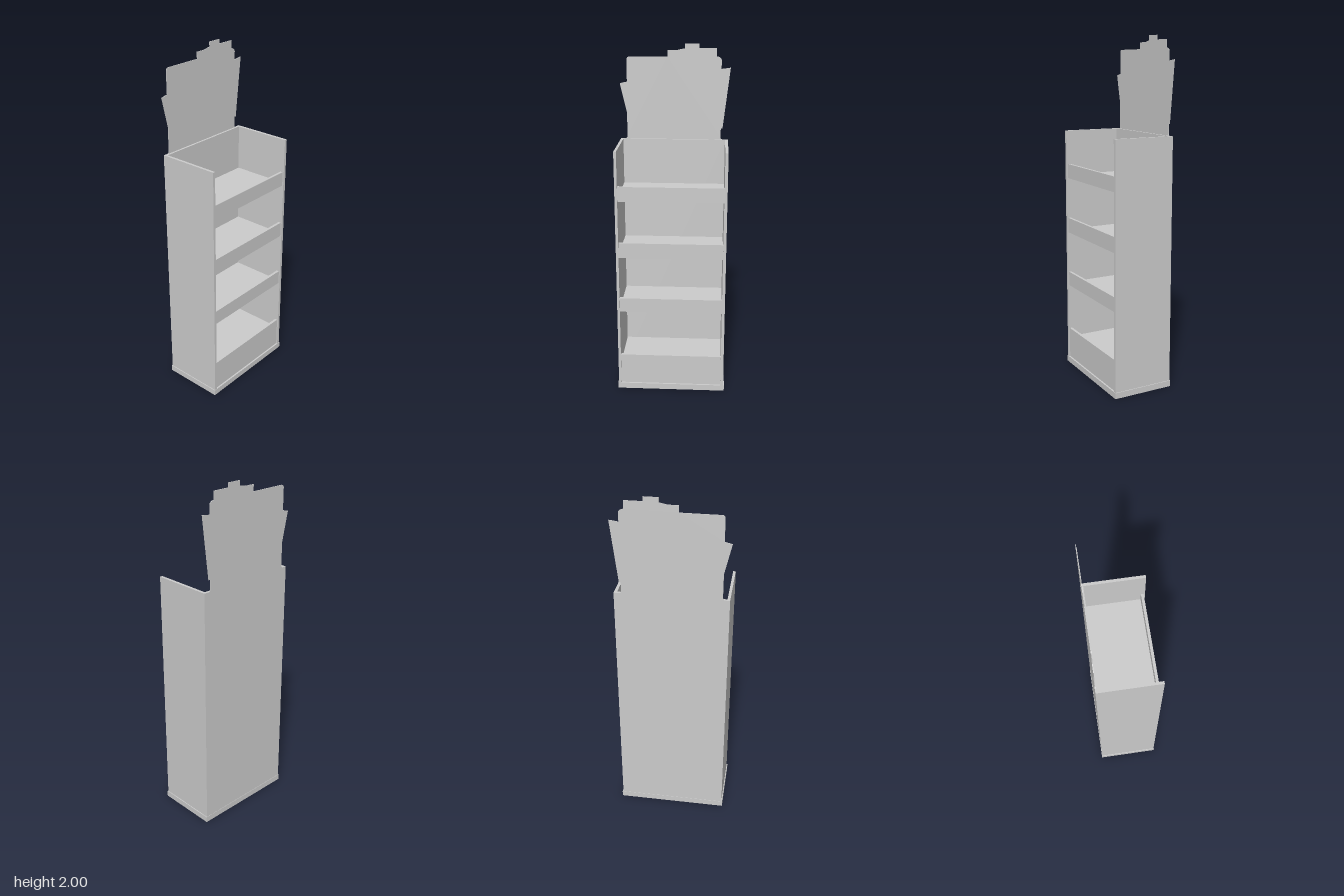
import * as THREE from 'three';

const material = new THREE.MeshStandardMaterial({ color: 0xcccccc, flatShading: true });

// Box given by its lower and upper limits on each axis
function box(name, [x0, x1], [y0, y1], [z0, z1]) {
  const geometry = new THREE.BoxGeometry(x1 - x0, y1 - y0, z1 - z0);
  geometry.translate((x0 + x1) / 2, (y0 + y1) / 2, (z0 + z1) / 2);
  const mesh = new THREE.Mesh(geometry, material);
  mesh.name = name;
  return mesh;
}

// Thin rear sheet: full-width lower body and a stepped header card in one outline
function backSheet() {
  const s = new THREE.Shape();
  s.moveTo(-0.315, 0.01);
  s.lineTo(0.31, 0.01);
  s.lineTo(0.31, 1.455);
  s.lineTo(0.278, 1.455);
  s.quadraticCurveTo(0.268, 1.455, 0.268, 1.467);
  [[0.268, 1.52], [0.278, 1.52], [0.318, 1.867], [0.266, 1.86], [0.266, 1.91]].forEach((p) => s.lineTo(...p));
  s.quadraticCurveTo(0.264, 1.926, 0.238, 1.93);
  [[0.238, 1.975], [0.138, 1.975], [0.138, 2], [0.058, 2], [0.058, 1.973],
    [0.015, 1.964], [-0.042, 1.964], [-0.042, 1.926], [-0.258, 1.926]].forEach((p) => s.lineTo(...p));
  s.quadraticCurveTo(-0.275, 1.926, -0.275, 1.908);
  [[-0.275, 1.785], [-0.316, 1.775], [-0.277, 1.605], [-0.277, 1.47]].forEach((p) => s.lineTo(...p));
  s.quadraticCurveTo(-0.277, 1.455, -0.292, 1.455);
  s.lineTo(-0.315, 1.455);
  s.closePath();
  const geometry = new THREE.ExtrudeGeometry(s, { depth: 0.004, bevelEnabled: false, curveSegments: 6 });
  geometry.translate(0, 0, -0.179);
  const mesh = new THREE.Mesh(geometry, material);
  mesh.name = 'backSheetWithHeader';
  return mesh;
}

export function createModel() {
  const group = new THREE.Group();
  group.name = 'displayStand';
  const inner = [-0.3, 0.293];
  const top = 1.455;

  // Base tray and outer shell
  group.add(box('base', [-0.32, 0.315], [0, 0.035], [-0.181, 0.181]));
  group.add(box('rightSide', [-0.315, inner[0]], [0.03, top], [-0.175, 0.179]));
  group.add(box('leftSide', [inner[1], 0.31], [0.03, top], [-0.175, 0.179]));
  group.add(box('innerBack', inner, [0.03, top], [-0.175, -0.163]));
  group.add(backSheet());

  // Shelves, each with a raised front lip: [lip bottom, floor, lip top]
  const shelves = [[0.035, 0.165, 0.22], [0.5, 0.52, 0.585], [0.835, 0.855, 0.925], [1.17, 1.19, 1.255]];
  shelves.forEach(([bottom, floor, lipTop], i) => {
    const shelf = new THREE.Group();
    shelf.name = `shelf${i + 1}`;
    shelf.add(box('shelfFloor', inner, [floor - 0.02, floor], [-0.163, 0.155]));
    shelf.add(box('shelfLip', inner, [bottom, lipTop], [0.155, 0.171]));
    group.add(shelf);
  });
  return group;
}
